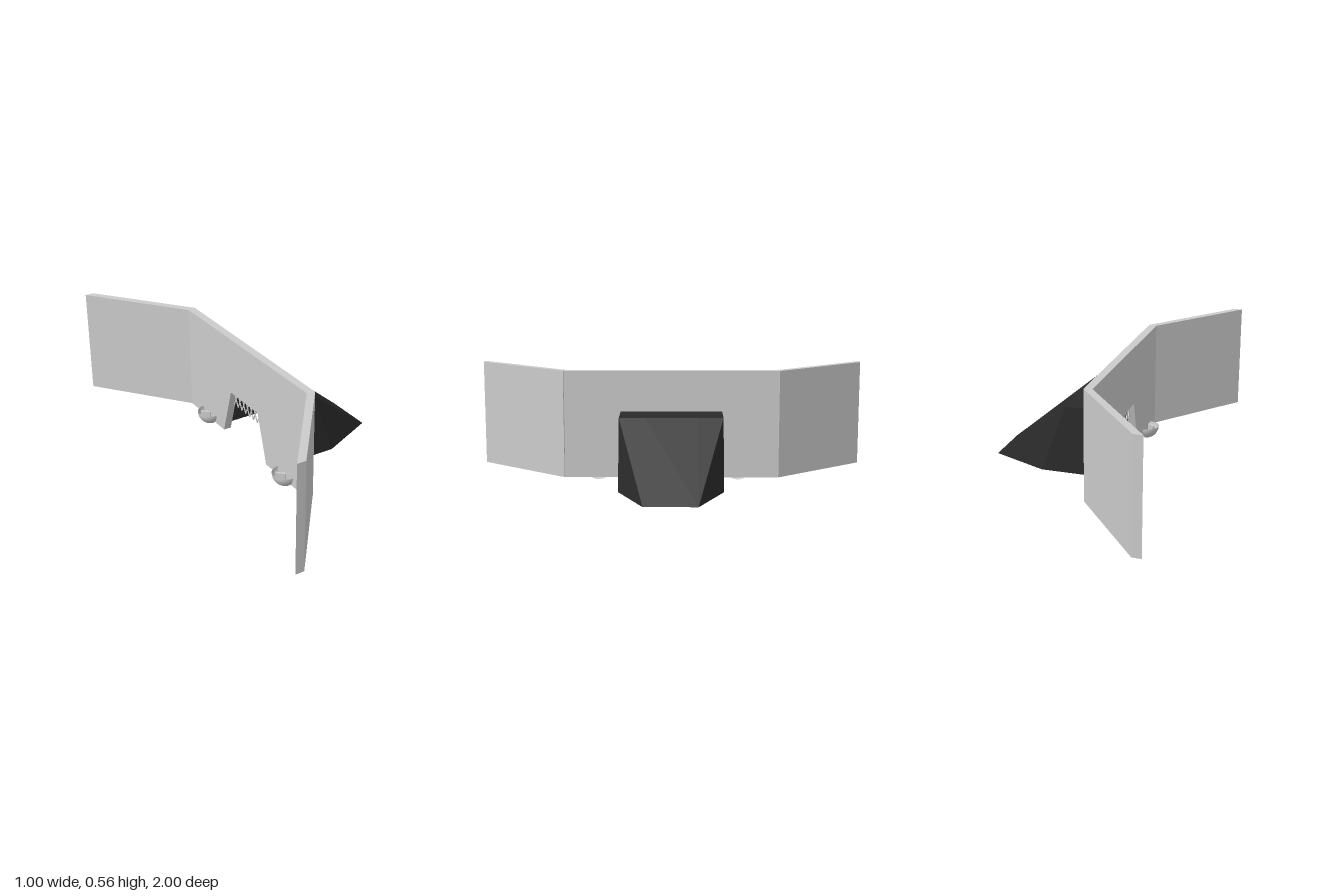
import * as THREE from 'three';

const FLOOR = 0.02, TOP = 0.565;
const grey = new THREE.MeshStandardMaterial({ color: 0xcccccc, flatShading: true });
const thinGrey = new THREE.MeshStandardMaterial({ color: 0xcccccc, side: THREE.DoubleSide });
const black = new THREE.MeshStandardMaterial({ color: 0x2a2a2a, flatShading: true, side: THREE.DoubleSide });

function add(parent, name, geometry, material) {
  const mesh = new THREE.Mesh(geometry, material);
  mesh.name = name;
  parent.add(mesh);
  return mesh;
}

const shapeOf = (pts) => new THREE.Shape(pts.map(([x, y]) => new THREE.Vector2(x, y)));

// Centre board with a trapezoid doorway cut up from its lower edge
function centreBoard() {
  const shape = shapeOf([
    [-0.54, FLOOR], [-0.2, FLOOR], [-0.125, 0.27], [0.125, 0.27],
    [0.2, FLOOR], [0.54, FLOOR], [0.54, TOP], [-0.54, TOP],
  ]);
  const g = new THREE.ExtrudeGeometry(shape, { depth: 0.04, bevelEnabled: false });
  return g.rotateY(-Math.PI / 2).translate(-0.1, 0, 0);
}

// Angled side board; side is +1 or -1 along z
function wing(side) {
  const shape = shapeOf([
    [-0.14, -0.535 * side], [-0.1, -0.543 * side], [-0.46, -side], [-0.505, -side],
  ]);
  const g = new THREE.ExtrudeGeometry(shape, { depth: TOP - FLOOR, bevelEnabled: false });
  return g.rotateX(-Math.PI / 2).translate(0, FLOOR, 0);
}

// Faceted hood: left and right rows of corners joined by faces
function hood() {
  const half = (s) => [
    [-0.1, FLOOR, 0.255 * s], [-0.1, 0.36, 0.255 * s], // back foot, back top
    [0.09, 0.36, 0.255 * s], [0.215, FLOOR, 0.255 * s], // shoulder, side foot
    [0.09, 0.36, 0.128 * s], [0.5, FLOOR, 0.128 * s], // brow, tip
  ];
  const points = [...half(1), ...half(-1)];
  const sideFaces = [[0, 3, 2], [0, 2, 1], [3, 5, 2], [5, 4, 2]];
  const faces = [
    ...sideFaces,
    ...sideFaces.map(([a, b, c]) => [a + 6, c + 6, b + 6]),
    [1, 2, 8], [1, 8, 7], // roof
    [4, 5, 11], [4, 11, 10], // sloping front
    [0, 9, 3], [3, 9, 5], [5, 9, 11], // partial floor
  ];
  const g = new THREE.BufferGeometry();
  g.setAttribute('position', new THREE.Float32BufferAttribute(
    faces.flatMap((f) => f.flatMap((i) => points[i])), 3));
  g.computeVertexNormals();
  return g;
}

// Quarter-sphere cup on the back of the board with a small slanted divider
function cup(z) {
  const group = new THREE.Group();
  group.name = 'cup';
  const R = 0.065;
  add(group, 'cupBowl', new THREE.SphereGeometry(R, 20, 10, -Math.PI / 2, Math.PI, Math.PI / 2, Math.PI / 2), thinGrey);
  const divider = add(group, 'cupDivider', new THREE.BoxGeometry(0.012, 0.035, 0.05), grey);
  divider.position.set(-0.026, -0.012, 0);
  divider.rotation.y = Math.PI / 4;
  group.position.set(-0.14, R, z);
  return group;
}

// Crossed strands hanging from the top of the doorway
function fringe() {
  const group = new THREE.Group();
  group.name = 'doorwayFringe';
  const count = 7, drop = 0.075, step = 0.25 / count;
  for (let i = 0; i < count; i++) {
    for (const s of [-1, 1]) {
      const strand = add(group, 'strand', new THREE.BoxGeometry(0.004, Math.hypot(drop, step), 0.005), grey);
      strand.position.set(-0.12, 0.27 - drop / 2, -0.125 + step * (i + 0.5));
      strand.rotation.x = s * Math.atan2(step, drop);
    }
  }
  return group;
}

export function createModel() {
  const model = new THREE.Group();
  model.name = 'wallWithHood';
  add(model, 'centreBoard', centreBoard(), grey);
  add(model, 'leftWing', wing(1), grey);
  add(model, 'rightWing', wing(-1), grey);
  add(model, 'hood', hood(), black);
  model.add(fringe(), cup(0.37), cup(-0.34));
  return model;
}
